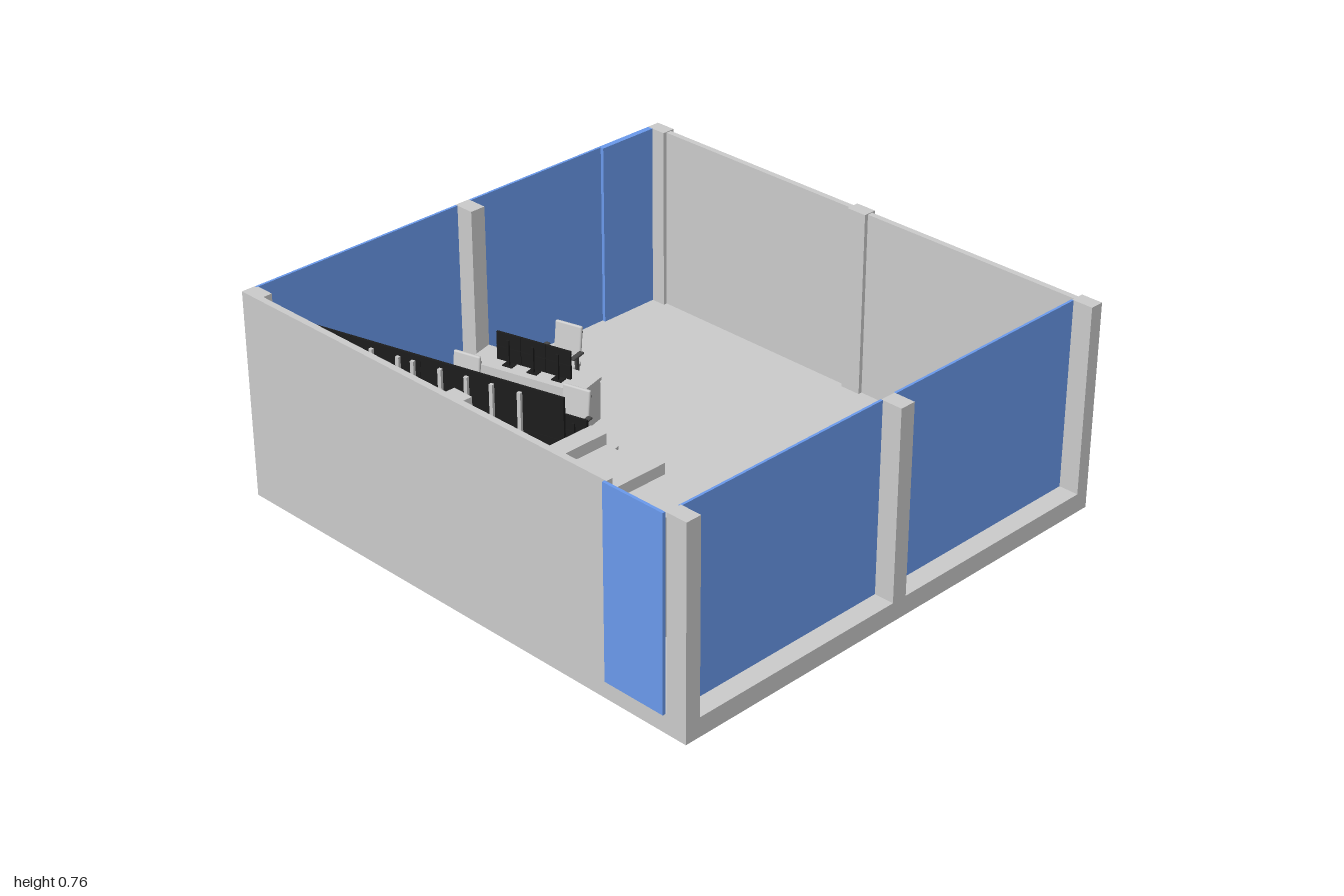
import * as THREE from 'three';
import { RoundedBoxGeometry } from 'three/addons/geometries/RoundedBoxGeometry.js';

const paint = (color) => new THREE.MeshStandardMaterial({ color });
const grey = paint(0xcccccc);
const glass = paint(0x6a9aec);
const black = paint(0x1c1c1c);
const dark = paint(0x484848);

const FLOOR = 0.07, TOP = 0.76, TURN = 0.25;

function add(parent, name, geometry, material, x = 0, y = 0, z = 0) {
  const mesh = new THREE.Mesh(geometry, material);
  mesh.name = name;
  mesh.position.set(x, y, z);
  parent.add(mesh);
  return mesh;
}

// Box given by its lower and upper limits on each axis
function block(parent, name, material, x0, x1, y0, y1, z0, z1) {
  return add(parent, name, new THREE.BoxGeometry(x1 - x0, y1 - y0, z1 - z0), material,
    (x0 + x1) / 2, (y0 + y1) / 2, (z0 + z1) / 2);
}

function group(parent, name, x = 0, y = 0, z = 0, turn = 0) {
  const g = new THREE.Group();
  g.name = name;
  g.position.set(x, y, z);
  g.rotation.y = turn;
  parent.add(g);
  return g;
}

function buildRoom(parent) {
  const room = group(parent, 'room');
  block(room, 'floorSlab', grey, -1, 1, 0, FLOOR, -0.946, 0.936);

  // Pillars at the corners and in the middle of each side
  for (const [x0, x1] of [[-1, -0.92], [-0.04, 0.04], [0.92, 1]]) {
    block(room, 'backPillar', grey, x0, x1, FLOOR, TOP, -0.946, -0.895);
    block(room, 'frontPillar', grey, x0, x1, FLOOR, TOP, 0.878, 0.936);
  }
  for (const x0 of [-1, 0.92]) block(room, 'sidePillar', grey, x0, x0 + 0.08, FLOOR, TOP, -0.035, 0.025);

  // Solid walls, the back one set in from the pillars
  block(room, 'backWall', grey, -0.93, 0.93, FLOOR, 0.757, -0.932, -0.91);
  block(room, 'frontWall', grey, -0.99, 0.68, FLOOR, TOP, 0.912, 0.936);

  // Glazed sides and the two doors
  for (const [z0, z1] of [[-0.895, -0.035], [0.025, 0.885]]) {
    block(room, 'rightGlass', glass, 0.917, 0.926, FLOOR, TOP, z0, z1);
    block(room, 'leftGlass', glass, -0.999, -0.99, FLOOR, TOP, z0, z1);
  }
  block(room, 'frontDoor', glass, 0.673, 0.917, FLOOR, TOP, 0.937, 0.948);
  block(room, 'leftDoor', glass, -0.99, -0.977, FLOOR, TOP, -0.895, -0.65);
}

// Tall cabinet with two raised ribs
function buildCabinet(parent) {
  const cabinet = group(parent, 'cabinet');
  block(cabinet, 'cabinetBody', grey, 0.13, 0.635, FLOOR, 0.495, 0.476, 0.68);
  for (const x of [0.13, 0.385]) {
    block(cabinet, 'cabinetRib', grey, x, x + 0.07, FLOOR, 0.535, 0.475, 0.725);
  }
}

// Wall of dark panels held by posts on the far side
function buildDisplayWall(parent) {
  const wall = group(parent, 'displayWall', -0.43, 0, 0.68, TURN);
  const w = 1.072 / 4, h = 0.455 / 3;
  for (let i = 0; i < 4; i++) {
    for (let j = 0; j < 3; j++) {
      add(wall, 'displayPanel', new THREE.BoxGeometry(w - 0.001, h - 0.001, 0.01), black,
        (i - 1.5) * w, 0.19 + (j + 0.5) * h, 0);
    }
  }
  for (const x of [-0.877, -0.781, -0.61, -0.51, -0.4545, -0.353, -0.257, -0.165, -0.064]) {
    add(wall, 'displayPost', new THREE.BoxGeometry(0.013, 0.555, 0.012), grey,
      (x + 0.43) / Math.cos(TURN), FLOOR + 0.2775, 0.011);
  }
}

// Two rows of three monitors, facing -z
function buildMonitors(parent, x, y, z) {
  const bank = group(parent, 'monitorBank', x, y, z);
  for (let i = -1; i <= 1; i++) {
    add(bank, 'monitorFoot', new THREE.BoxGeometry(0.04, 0.004, 0.03), black, i * 0.1, 0.002, 0.006);
    add(bank, 'monitorStand', new THREE.BoxGeometry(0.01, 0.1, 0.008), black, i * 0.1, 0.05, 0.011);
    for (const row of [0, 1]) {
      const py = 0.04 + row * 0.054;
      add(bank, 'monitorCase', new THREE.BoxGeometry(0.098, 0.052, 0.01), black, i * 0.1, py, 0.002);
      add(bank, 'monitorScreen', new THREE.BoxGeometry(0.088, 0.042, 0.002), dark, i * 0.1, py, -0.0035);
    }
  }
}

function buildDesk(parent, x, z, units) {
  const desk = group(parent, 'desk', x, 0, z, TURN);
  const half = units * 0.23, top = 0.23;
  block(desk, 'deskTop', grey, -half, half, top - 0.012, top, -0.067, 0.067);
  for (let i = 0; i <= units; i++) {
    const px = (-half + 0.006) + i * (2 * half - 0.012) / units;
    block(desk, 'deskLeg', grey, px - 0.006, px + 0.006, FLOOR, top - 0.012, -0.06, 0.06);
  }
  block(desk, 'deskPanel', grey, -half + 0.012, half - 0.012, 0.11, top - 0.012, 0.045, 0.053);
  for (let i = 0; i < units; i++) {
    buildMonitors(desk, (i - (units - 1) / 2) * 0.465 + 0.015, top, 0.018);
  }
}

// Office chair facing +z
function buildChair(parent, x, z) {
  const chair = group(parent, 'chair', x, FLOOR, z, TURN);
  for (let i = 0; i < 5; i++) {
    const spoke = group(chair, 'baseSpoke', 0, 0, 0, (i * 2 * Math.PI) / 5 + 0.3);
    add(spoke, 'spokeArm', new THREE.BoxGeometry(0.058, 0.007, 0.009), dark, 0.029, 0.019, 0);
    const caster = add(spoke, 'caster', new THREE.CylinderGeometry(0.008, 0.008, 0.01, 12), dark, 0.055, 0.008, 0);
    caster.rotation.x = Math.PI / 2;
  }
  add(chair, 'gasColumn', new THREE.CylinderGeometry(0.007, 0.007, 0.085, 12), dark, 0, 0.06, 0);
  add(chair, 'seat', new RoundedBoxGeometry(0.116, 0.02, 0.115, 3, 0.009), grey, 0, 0.112, 0.012);

  // Reclined back with its spine and headrest
  const back = group(chair, 'backrest', 0, 0.115, -0.042);
  back.rotation.x = -0.12;
  add(back, 'backCushion', new RoundedBoxGeometry(0.108, 0.115, 0.014, 3, 0.006), grey, 0, 0.078, 0);
  add(back, 'backSpine', new THREE.BoxGeometry(0.014, 0.12, 0.008), dark, 0, 0.05, -0.011);
  add(back, 'backBar', new THREE.BoxGeometry(0.1, 0.008, 0.006), dark, 0, 0.11, -0.01);
  add(back, 'headStem', new THREE.BoxGeometry(0.008, 0.012, 0.018), dark, 0, 0.11, -0.016);

  for (const side of [-1, 1]) {
    add(chair, 'armPost', new THREE.BoxGeometry(0.007, 0.062, 0.018), dark, side * 0.066, 0.133, 0);
    add(chair, 'armPad', new RoundedBoxGeometry(0.02, 0.009, 0.065, 2, 0.004), dark, side * 0.069, 0.167, 0.004);
    add(chair, 'armBracket', new THREE.BoxGeometry(0.066, 0.006, 0.018), dark, side * 0.035, 0.101, 0);
  }
}

export function createModel() {
  const model = new THREE.Group();
  model.name = 'controlRoom';
  buildRoom(model);
  buildCabinet(model);
  buildDisplayWall(model);
  buildDesk(model, -0.68, -0.025, 1);
  buildDesk(model, -0.525, 0.318, 2);
  for (const [x, z] of [[-0.7, -0.17], [-0.35, 0.125], [-0.785, 0.225]]) buildChair(model, x, z);
  return model;
}
